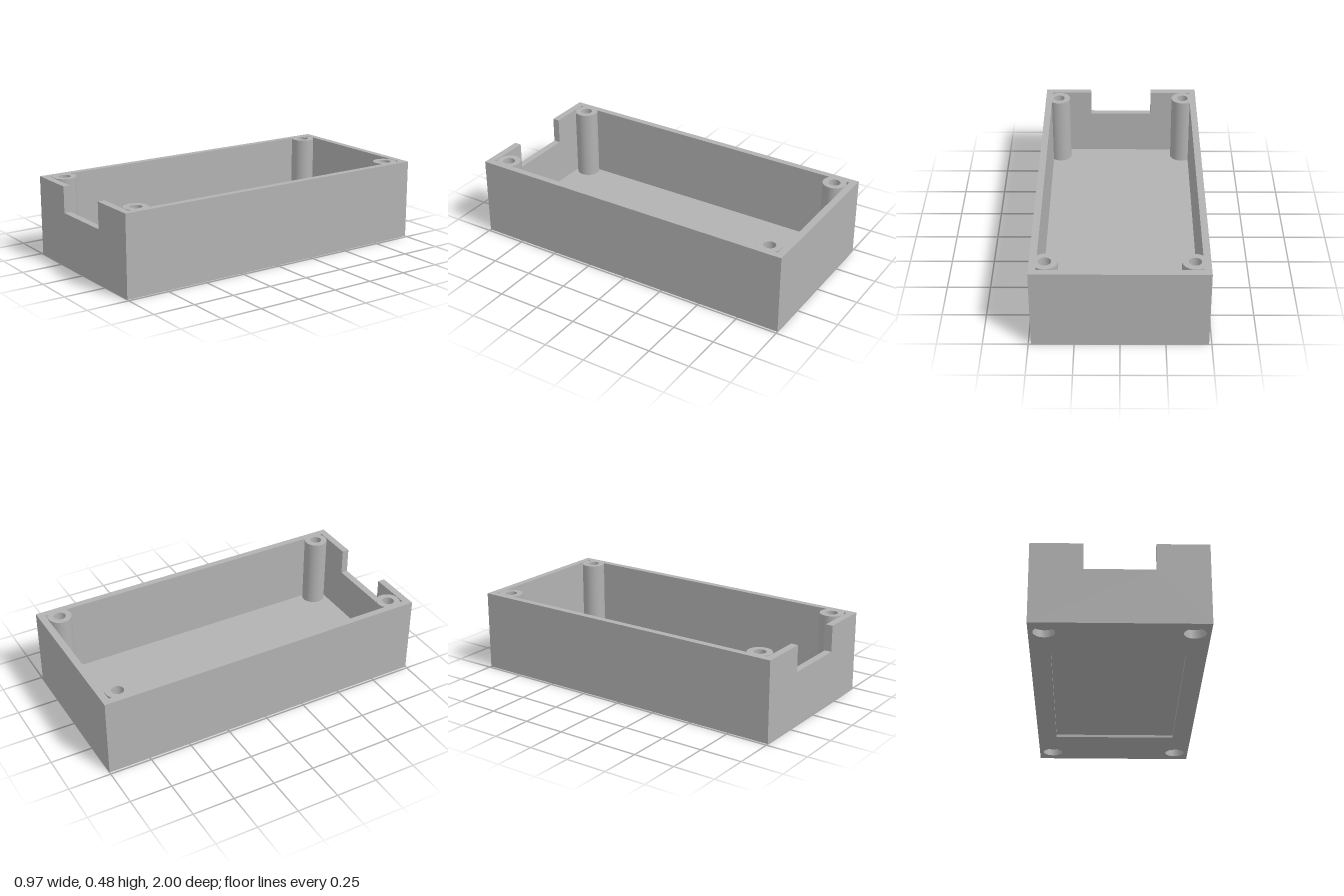
import * as THREE from 'three';
import { mergeGeometries } from 'three/addons/utils/BufferGeometryUtils.js';

const W = 0.485, L = 1, H = 0.476;          // outer half width, half length, height
const IW = 0.445, IL = 0.958, FLOOR = 0.042; // cavity half width, half length, floor level
const NX = 0.195, NY = 0.32;                 // cable notch half width and sill level
const PX = 0.4, PZ = 0.885, PR = 0.07;       // screw post position and radius
const HOLE = 0.035, BORE = 0.06, BORE_H = 0.05;
const RX = 0.37, RZ = 0.612, RD = 0.016;     // underside label recess

const polygon = (pts) => new THREE.Shape(pts.map(([x, y]) => new THREE.Vector2(x, y)));
const rect = (w, l) => [[-w, -l], [w, -l], [w, l], [-w, l]];
const corners = [[-1, -1], [-1, 1], [1, 1], [1, -1]];

function punch(shape, radius) {
  for (const [sx, sy] of corners) {
    shape.holes.push(new THREE.Path().absarc(sx * PX, sy * PZ, radius, 0, Math.PI * 2, true));
  }
  return shape;
}

// flat face placed in space: tilt about x, then turn about y, then move
function face(geo, tilt, turn, x, y, z) {
  return geo.rotateX(tilt).rotateY(turn).translate(x, y, z);
}
const sheet = (shape, y, up) =>
  face(new THREE.ShapeGeometry(shape, 32), up ? -Math.PI / 2 : Math.PI / 2, 0, 0, y, 0);

// four upright sides of a rectangle, facing outward (dir 1) or inward (dir -1)
function sides(w, l, y0, y1, dir, skipFront) {
  const out = [];
  const h = y1 - y0, y = (y0 + y1) / 2, flip = dir < 0 ? Math.PI : 0;
  for (const s of [-1, 1]) {
    out.push(face(new THREE.PlaneGeometry(2 * l, h), 0, s * Math.PI / 2 + flip, s * w, y, 0));
    if (s > 0 && skipFront) continue;
    out.push(face(new THREE.PlaneGeometry(2 * w, h), 0, (s < 0 ? Math.PI : 0) + flip, 0, y, s * l));
  }
  return out;
}

// front wall outline with the notch cut from its top edge
const notched = (w, y0) => new THREE.ShapeGeometry(polygon([
  [-w, y0], [w, y0], [w, H], [NX, H], [NX, NY], [-NX, NY], [-NX, H], [-w, H],
]));

// rim: open at the notch, its inner edge bulging round the posts
function rimShape() {
  const s = polygon([[NX, -L], [W, -L], [W, L], [-W, L], [-W, -L], [-NX, -L], [-NX, -IL], [-IW, -IL]]);
  const a = Math.acos((IW - PX) / PR);
  corners.forEach(([sx, sy], i) => {
    const [from, to] = sx < 0 ? [a - Math.PI, Math.PI - a] : [a, 2 * Math.PI - a];
    s.absarc(sx * PX, sy * PZ, PR, from, to, false);
    if (i === 1) s.lineTo(-IW, IL).lineTo(IW, IL);
  });
  s.lineTo(IW, -IL).lineTo(NX, -IL);
  return punch(s, HOLE);
}

export function createModel() {
  const gray = new THREE.MeshStandardMaterial({ color: 0xb2b2b2, side: THREE.DoubleSide });
  gray.name = 'gray plastic';
  const model = new THREE.Group();
  model.name = 'enclosureBase';
  const add = (name, geos, parent = model) => {
    const mesh = new THREE.Mesh(mergeGeometries(geos), gray);
    mesh.name = name;
    parent.add(mesh);
  };

  add('outerWalls', [...sides(W, L, 0, H, 1, true), face(notched(W, 0), 0, 0, 0, 0, L)]);
  add('innerWalls', [...sides(IW, IL, FLOOR, H, -1, true), face(notched(IW, FLOOR), 0, Math.PI, 0, 0, IL)]);
  add('rim', [sheet(rimShape(), H, true)]);
  add('floor', [sheet(punch(polygon(rect(IW, IL)), BORE), FLOOR, true)]);

  // sill and cheeks of the notch
  const t = L - IL, zMid = (L + IL) / 2;
  add('cableNotch', [
    face(new THREE.PlaneGeometry(2 * NX, t), -Math.PI / 2, 0, 0, NY, zMid),
    ...[-1, 1].map((s) =>
      face(new THREE.PlaneGeometry(t, H - NY), 0, -s * Math.PI / 2, s * NX, (H + NY) / 2, zMid)),
  ]);

  // underside with a shallow label recess
  const under = punch(polygon(rect(W, L)), BORE);
  under.holes.push(polygon(rect(RX, RZ).reverse()));
  add('underside', [sheet(under, 0, false)]);
  add('labelRecess', [sheet(polygon(rect(RX, RZ)), RD, false), ...sides(RX, RZ, 0, RD, -1, false)]);

  // screw posts: outer wall, through hole and counterbore from below
  const profile = [[PR, FLOOR, PR, H], [HOLE, H, HOLE, BORE_H],
    [HOLE, BORE_H, BORE, BORE_H], [BORE, BORE_H, BORE, 0]];
  for (const [sx, sz] of corners) {
    const geos = profile.map(([r0, y0, r1, y1]) => new THREE.LatheGeometry(
      [new THREE.Vector2(r0, y0), new THREE.Vector2(r1, y1)], 48).translate(sx * PX, 0, sz * PZ));
    add('screwPost', geos);
  }
  return model;
}
